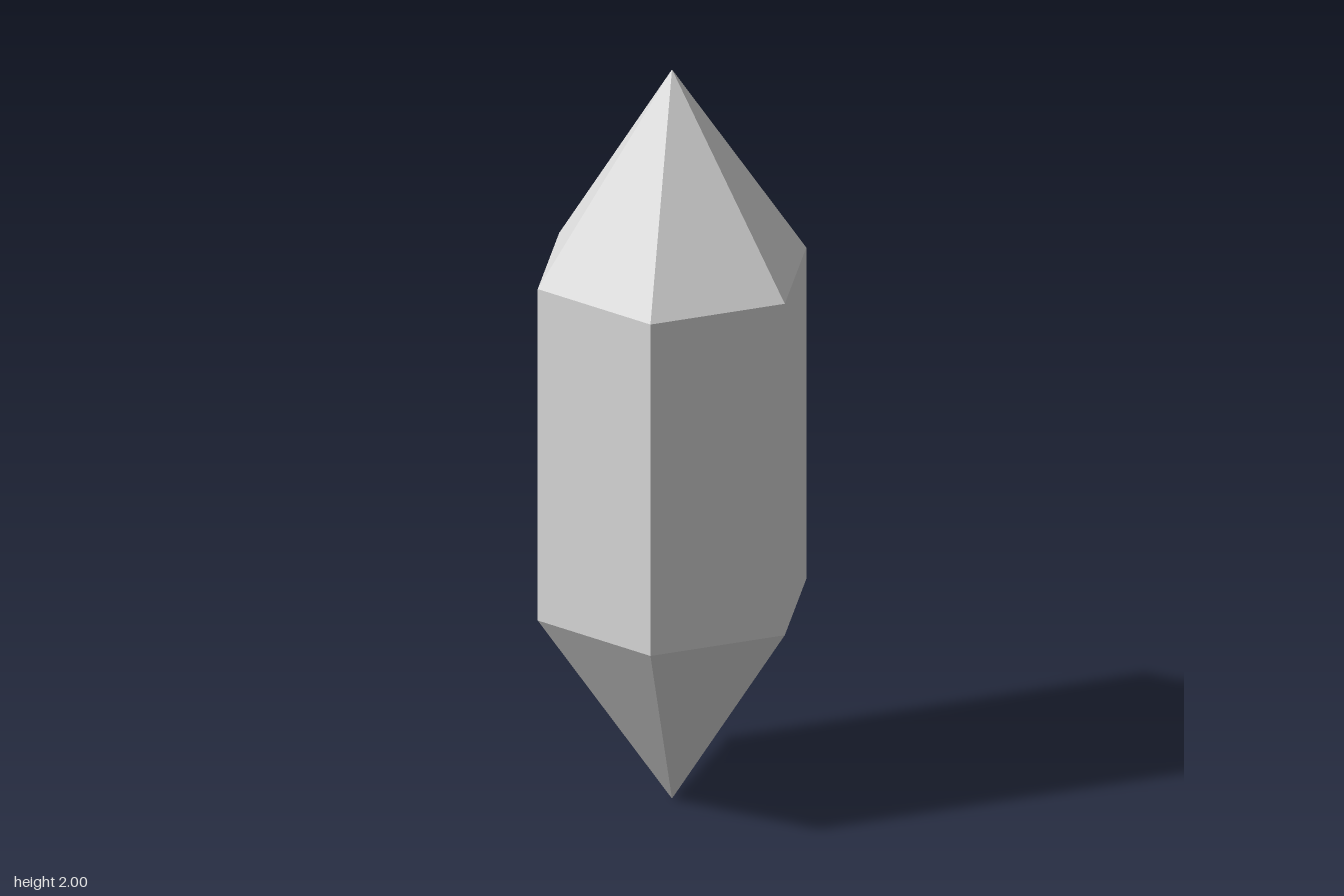
import * as THREE from 'three';

const SIDES = 6;
const RADIUS = 4 / 11;
const PRISM_HEIGHT = 10 / 11;
const TIP_HEIGHT = 6 / 11;

export function createModel() {
  const crystal = new THREE.Group();
  crystal.name = 'crystal';

  const paleGrey = new THREE.MeshStandardMaterial({ color: 0xdcdcdc });
  paleGrey.name = 'paleGrey';

  // One open six-sided section with flat facets, corners on the z axis
  function addSection(name, topRadius, bottomRadius, height, y) {
    const geometry = new THREE.CylinderGeometry(topRadius, bottomRadius, height, SIDES, 1, true).toNonIndexed();
    geometry.computeVertexNormals();
    const mesh = new THREE.Mesh(geometry, paleGrey);
    mesh.name = name;
    mesh.position.y = y;
    crystal.add(mesh);
  }

  // Lower point, straight body and upper point
  addSection('lowerTip', RADIUS, 0, TIP_HEIGHT, TIP_HEIGHT / 2);
  addSection('body', RADIUS, RADIUS, PRISM_HEIGHT, 1);
  addSection('upperTip', 0, RADIUS, TIP_HEIGHT, 2 - TIP_HEIGHT / 2);

  return crystal;
}
